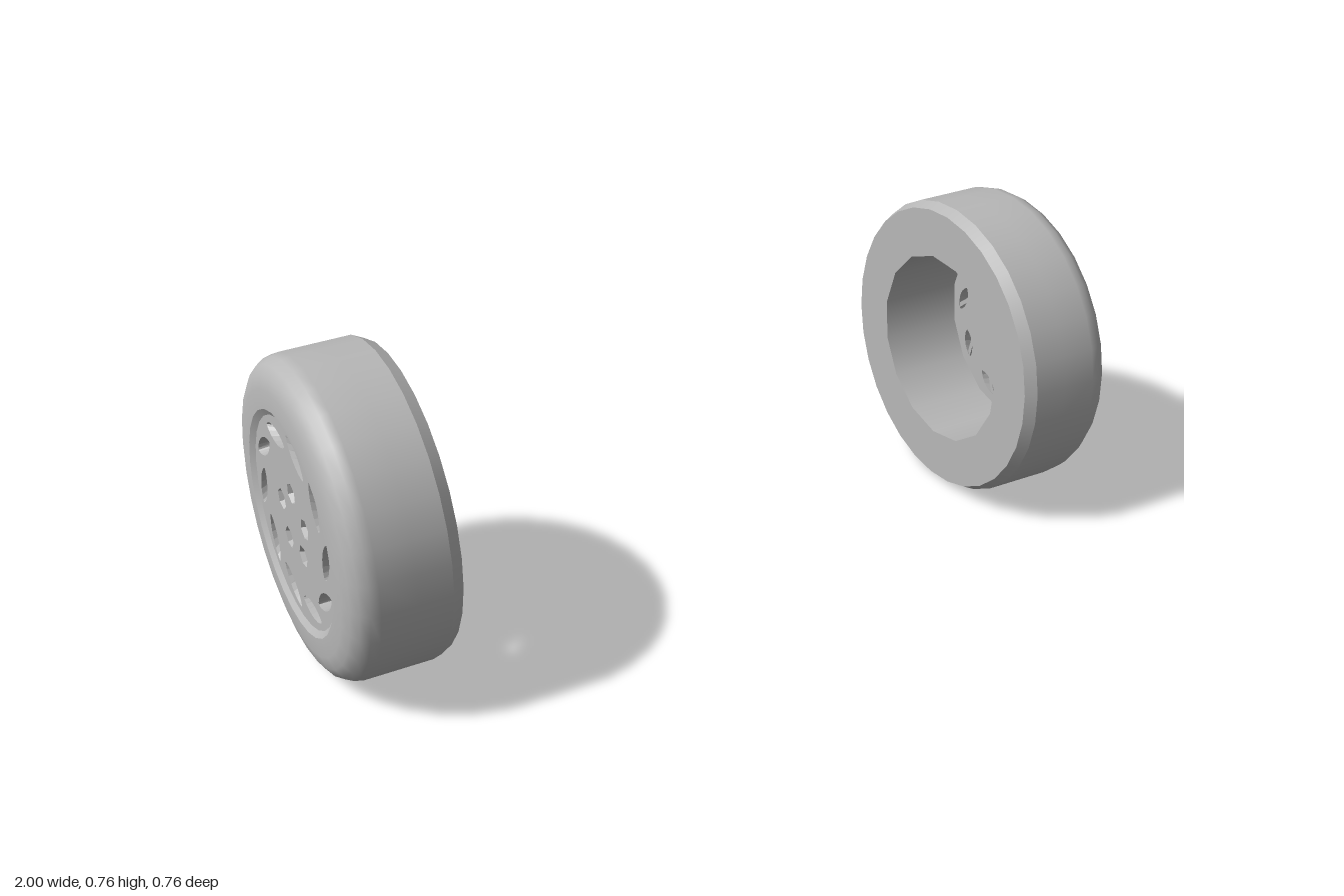
import * as THREE from 'three';
import { mergeGeometries } from 'three/addons/utils/BufferGeometryUtils.js';

const DEG = Math.PI / 180;
const CENTRE_Y = 0.38;
const HUB_FRONT = 0.99, HUB_BACK = 0.955;

// Regular polygon, counter-clockwise
function ring(n, r, start = -90 * DEG, cx = 0, cy = 0) {
  return Array.from({ length: n }, (_, i) => {
    const a = start + (i / n) * Math.PI * 2;
    return new THREE.Vector2(cx + r * Math.cos(a), cy + r * Math.sin(a));
  });
}

// Leaf-shaped slot outline, skewed to the radius at the given angle
function leaf(angle, length, width, shift) {
  const dir = angle - 69 * DEG;
  const c = new THREE.Vector2(0.203 * Math.cos(angle), 0.203 * Math.sin(angle));
  return Array.from({ length: 18 }, (_, i) => {
    const t = (i / 18) * Math.PI * 2, s = Math.sin(t);
    return new THREE.Vector2(length * Math.cos(t) + shift, width * s * Math.sqrt(Math.abs(s)))
      .rotateAround(new THREE.Vector2(), dir).add(c);
  });
}

// Mirror along one axis and keep the faces the right way round
function mirrored(geo, axis) {
  const g = geo.index ? geo.toNonIndexed() : geo.clone();
  const s = [1, 1, 1];
  s[axis] = -1;
  g.scale(...s);
  for (const attr of Object.values(g.attributes)) {
    const n = attr.itemSize, a = attr.array;
    for (let i = 0; i < a.length; i += 3 * n)
      for (let k = 0; k < n; k++) {
        const tmp = a[i + n + k];
        a[i + n + k] = a[i + 2 * n + k];
        a[i + 2 * n + k] = tmp;
      }
  }
  return g;
}

// Flat plate at depth w, with holes, facing outwards or backwards
function plate(outline, holes, w, back = false) {
  const shape = new THREE.Shape(outline);
  holes.forEach(h => shape.holes.push(new THREE.Path(h)));
  const geo = new THREE.ShapeGeometry(shape);
  return (back ? mirrored(geo, 2) : geo.toNonIndexed()).translate(0, 0, w);
}

// Inward-facing wall between a front outline and a back outline
function wall(front, back, w1, w2) {
  const pos = [];
  front.forEach((a, i) => {
    const j = (i + 1) % front.length;
    const b = front[j], c = back[j], d = back[i];
    pos.push(a.x, a.y, w1, b.x, b.y, w1, c.x, c.y, w2, a.x, a.y, w1, c.x, c.y, w2, d.x, d.y, w2);
  });
  const g = new THREE.BufferGeometry();
  g.setAttribute('position', new THREE.Float32BufferAttribute(pos, 3));
  g.computeVertexNormals();
  return g;
}

// Surface of revolution about the axle from [radius, depth] points
function turned(points, sides) {
  return new THREE.LatheGeometry(points.map(p => new THREE.Vector2(...p)), sides).rotateX(Math.PI / 2);
}

// All wheel parts, with the axle along +z and the outer face forward
function wheelParts() {
  const parts = {};

  // Tyre: bevel, tread and sidewall, and the step down to the hub
  parts.tyreBevel = turned([[0.366, 0.74], [0.38, 0.768]], 30);
  parts.tyre = turned([[0.38, 0.768], [0.38, 0.85], [0.38, 0.935], [0.375, 0.957], [0.362, 0.977],
    [0.34, 0.991], [0.31, 0.999], [0.265, 1]], 30);
  parts.rimStep = turned([[0.265, 1], [0.25, HUB_FRONT]], 30);
  parts.tyreBack = plate(ring(30, 0.366), [ring(15, 0.245)], 0.74, true);
  parts.barrel = turned([[0.245, HUB_BACK], [0.245, 0.74]], 15);

  // Ten skewed vents and five hexagonal bolt pockets
  const frontHoles = [], backHoles = [], walls = [], bars = [], pockets = [];
  for (let i = 0; i < 10; i++) {
    const a = (105 + 36 * i) * DEG;
    const f = leaf(a, 0.058, 0.021, 0), b = leaf(a, 0.037, 0.016, -0.014);
    frontHoles.push(f);
    backHoles.push(b);
    walls.push(wall(f, b, HUB_FRONT, HUB_BACK));
    bars.push(new THREE.BoxGeometry(0.056, 0.011, 0.008).rotateZ(a - 37 * DEG)
      .translate(0.2 * Math.cos(a), 0.2 * Math.sin(a), HUB_BACK + 0.006));
  }
  for (let i = 0; i < 5; i++) {
    const a = (90 + 72 * i) * DEG;
    const cx = 0.077 * Math.cos(a), cy = 0.077 * Math.sin(a);
    const f = ring(6, 0.026, a, cx, cy), b = ring(6, 0.017, a, cx, cy);
    frontHoles.push(f);
    pockets.push(wall(f, b, HUB_FRONT, HUB_FRONT - 0.02), plate(b, [], HUB_FRONT - 0.02));
  }
  pockets.forEach(g => g.deleteAttribute('uv'));

  parts.hubFace = plate(ring(30, 0.25), frontHoles, HUB_FRONT);
  parts.hubBack = plate(ring(30, 0.25), backHoles, HUB_BACK, true);
  parts.ventWalls = mergeGeometries(walls);
  parts.ventBars = mergeGeometries(bars);
  parts.boltPockets = mergeGeometries(pockets);

  // Turn the axle to +x
  Object.values(parts).forEach(g => g.rotateY(Math.PI / 2));
  return parts;
}

export function createModel() {
  const grey = new THREE.MeshStandardMaterial({ color: 0xb8b8b8 });
  grey.name = 'wheelGrey';

  const model = new THREE.Group();
  model.name = 'wheelPair';
  const parts = wheelParts();
  for (const side of ['left', 'right']) {
    const wheel = new THREE.Group();
    wheel.name = side + 'Wheel';
    wheel.position.y = CENTRE_Y;
    for (const [name, geo] of Object.entries(parts)) {
      const mesh = new THREE.Mesh(side === 'left' ? geo : mirrored(geo, 0), grey);
      mesh.name = name;
      wheel.add(mesh);
    }
    model.add(wheel);
  }
  return model;
}
